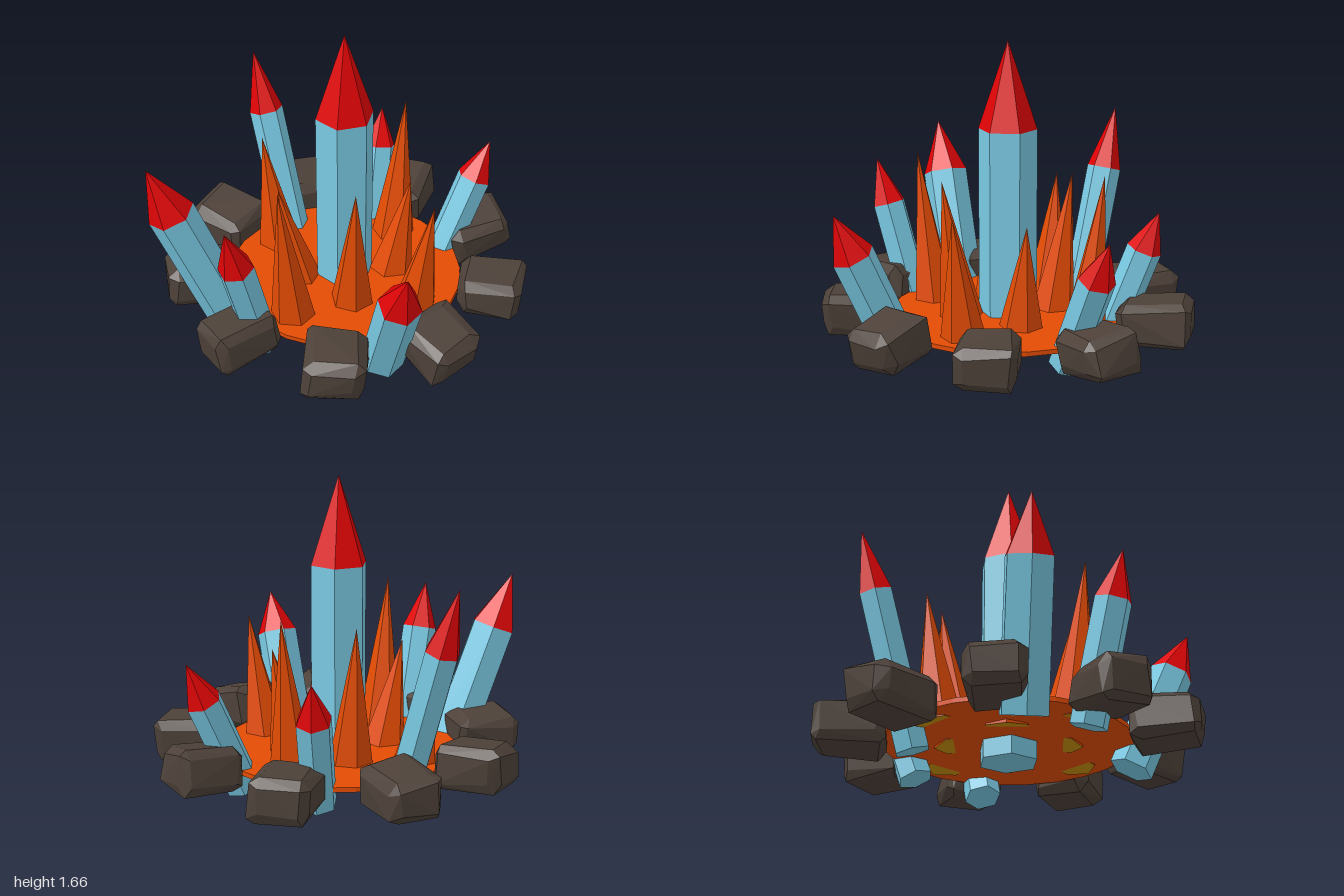
import * as THREE from 'three';
import { ConvexGeometry } from 'three/addons/geometries/ConvexGeometry.js';

const mat = (name, color) => {
  const m = new THREE.MeshStandardMaterial({ color });
  m.name = name;
  return m;
};

// Split shared corners so every facet is flat
function faceted(geo) {
  const g = geo.toNonIndexed();
  g.computeVertexNormals();
  return g;
}

// Small seeded generator
function seeded(seed) {
  return () => {
    seed = (seed * 16807) % 2147483647;
    return seed / 2147483647;
  };
}

// Stands an upright object on base and leans it toward tip, one edge facing the lean
function aim(obj, base, tip) {
  const d = tip.clone().sub(base);
  obj.position.copy(base);
  obj.rotation.order = 'YXZ';
  obj.rotation.y = Math.atan2(d.x, d.z);
  obj.rotation.x = Math.atan2(Math.hypot(d.x, d.z), d.y);
  return d.length();
}

export function createModel() {
  const blue = mat('crystal blue', 0x7acae4);
  const red = mat('tip red', 0xe00406);
  const orange = mat('orange', 0xe44c04);
  const amber = mat('spike base amber', 0xc8900c);
  const stone = mat('stone', 0x4d4139);

  const model = new THREE.Group();
  model.name = 'crystalCluster';
  const V = (x, y, z) => new THREE.Vector3(x, y, z);

  // Ground disc
  const disc = new THREE.Mesh(faceted(new THREE.CylinderGeometry(0.645, 0.645, 0.025, 24)), orange);
  disc.name = 'groundDisc';
  disc.position.set(-0.005, 0.17, 0);
  model.add(disc);

  // Hexagonal crystals with red points: base, tip, radius
  const crystals = [
    [V(-0.008, 0.06, 0), V(-0.008, 1.665, 0), 0.158],
    [V(-0.39, 0.05, -0.35), V(-0.67, 1.2, -0.54), 0.095],
    [V(0.02, 0.06, -0.55), V(0.02, 0.77, -0.81), 0.095],
    [V(0.45, 0.06, -0.36), V(0.69, 0.78, -0.58), 0.098],
    [V(-0.59, 0.06, 0.34), V(-0.92, 1.045, 0.53), 0.128],
    [V(-0.325, 0.06, 0.56), V(-0.42, 0.92, 0.80), 0.096],
    [V(0.33, 0.055, 0.54), V(0.51, 0.83, 0.83), 0.115],
  ];
  crystals.forEach(([base, tip, r], i) => {
    const crystal = new THREE.Group();
    crystal.name = i ? 'outerCrystal' + i : 'centralCrystal';
    const length = aim(crystal, base, tip);
    const shaftH = length * 0.707, tipH = length - shaftH;
    const shaft = new THREE.Mesh(faceted(new THREE.CylinderGeometry(r, r, shaftH, 6)), blue);
    shaft.name = 'shaft';
    shaft.position.y = shaftH / 2;
    const point = new THREE.Mesh(faceted(new THREE.ConeGeometry(r, tipH, 6)), red);
    point.name = 'point';
    point.position.y = shaftH + tipH / 2;
    crystal.add(shaft, point);
    model.add(crystal);
  });

  // Orange spikes, alternating outer and inner, leaning outward
  const spikeHeights = [0.84, 0.93, 1.01, 0.75];
  for (let i = 0; i < 8; i++) {
    const a = Math.PI / 8 + i * Math.PI / 4;
    const r = i % 2 ? 0.26 : 0.47;
    const at = (rad, y) => V(-0.005 + rad * Math.cos(a), y, rad * Math.sin(a));
    const holder = new THREE.Group();
    holder.name = 'spike' + (i + 1);
    const h = aim(holder, at(r, 0.16), at(r + 0.102, spikeHeights[i % 4]));
    const spike = new THREE.Mesh(faceted(new THREE.ConeGeometry(0.122, h, 6)), [orange, orange, amber]);
    spike.name = 'spikeBody';
    spike.position.y = h / 2;
    holder.add(spike);
    model.add(holder);
  }

  // Ring of chamfered, uneven rocks: half depth, half width, yaw, tilt, roll
  const rocks = [
    [0.172, 0.165, 0.02, 0, 0],
    [0.165, 0.155, 0.03, 0.1, -0.2],
    [0.185, 0.16, 0.02, 0, 0.04],
    [0.18, 0.145, -0.14, 0.08, -0.1],
    [0.175, 0.15, 0.08, 0.1, 0],
    [0.18, 0.16, -0.03, -0.08, 0.05],
    [0.188, 0.14, 0.02, 0.1, 0],
    [0.19, 0.155, 0.1, 0, 0.05],
    [0.18, 0.155, -0.05, 0.12, 0.12],
  ];
  const rand = seeded(77);
  const jitter = (s) => (rand() - 0.5) * s;
  rocks.forEach(([depth, width, yaw, tilt, roll], i) => {
    const pts = [];
    for (const sx of [-1, 1]) for (const sy of [-1, 1]) for (const sz of [-1, 1]) {
      const c = [sx * (depth + jitter(0.02)), sy * (0.115 + jitter(0.02)), sz * (width + jitter(0.03))];
      for (let k = 0; k < 3; k++) {
        const cut = 0.025 + rand() * 0.04;
        const p = c.map((v, j) => (j === k ? v : v - Math.sign(v) * cut));
        pts.push(V(...p));
      }
    }
    const rock = new THREE.Mesh(new ConvexGeometry(pts), stone);
    rock.name = 'rock' + (i + 1);
    const a = i * Math.PI * 2 / 9;
    rock.position.set(0.818 * Math.cos(a), 0.212, 0.818 * Math.sin(a));
    rock.rotation.set(tilt, yaw - a, roll, 'YXZ');
    model.add(rock);
  });
  return model;
}
